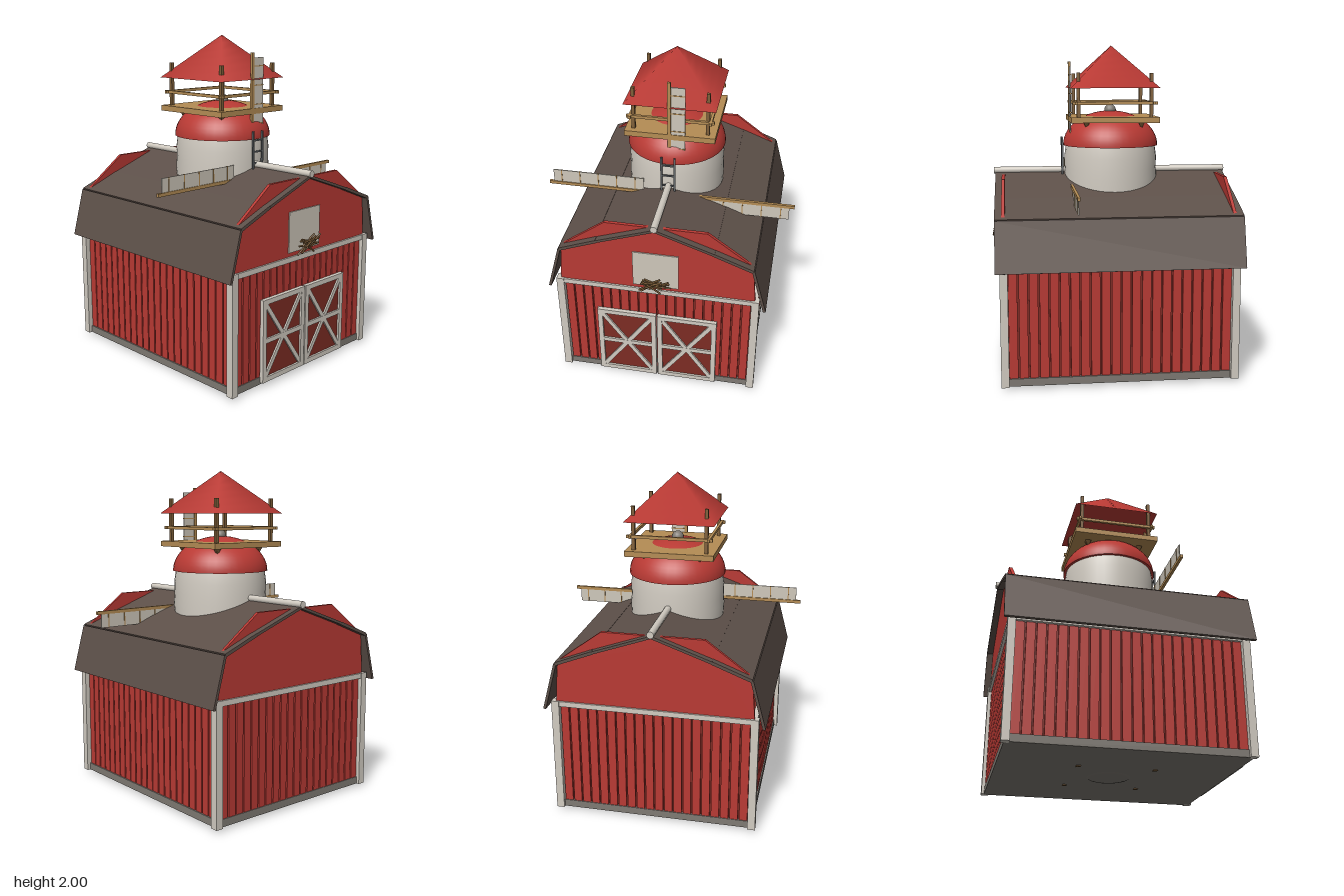
import * as THREE from 'three';

const mat = (name, color, side = THREE.FrontSide) =>
  Object.assign(new THREE.MeshStandardMaterial({ color, side }), { name });

export function createModel() {
  const red = mat('barn red', 0xb93a34, THREE.DoubleSide);
  const darkRed = mat('dark red', 0x7d2c24);
  const trim = mat('off-white trim', 0xd2ccc2);
  const canvas = mat('sail canvas', 0xcfc8bb);
  const roofBrown = mat('roof brown', 0x5d5049);
  const stone = mat('foundation grey', 0x7f7a73);
  const metal = mat('metal grey', 0x63676a);
  const tan = mat('tan wood', 0xb58d55);
  const brown = mat('brown wood', 0x80603a);

  const model = new THREE.Group();
  const barn = new THREE.Group();
  barn.name = 'barn';
  barn.position.z = -0.017;
  model.add(barn);

  const add = (name, geometry, material, x = 0, y = 0, z = 0, parent = barn) => {
    const m = new THREE.Mesh(geometry, material);
    m.name = name;
    m.position.set(x, y, z);
    parent.add(m);
    return m;
  };
  // Box given by its size and centre
  const box = (name, w, h, d, material, x, y, z, parent) =>
    add(name, new THREE.BoxGeometry(w, h, d), material, x, y, z, parent);
  // Flat bar between two points in the xy plane
  const bar = (name, a, b, width, depth, material, z, parent) => {
    const dx = b[0] - a[0], dy = b[1] - a[1];
    const m = box(name, Math.hypot(dx, dy), width, depth, material,
      (a[0] + b[0]) / 2, (a[1] + b[1]) / 2, z, parent);
    m.rotation.z = Math.atan2(dy, dx);
    return m;
  };
  const sides = [-1, 1];

  // Foundation and wall core
  box('foundation', 1.19, 0.045, 1.37, stone, 0, 0.0425, 0);
  box('wallCore', 1.145, 0.66, 1.335, darkRed, 0, 0.39, 0);
  const footing = add('siloFooting', new THREE.SphereGeometry(0.14, 24, 12), stone, 0, 0.03, 0);
  footing.scale.y = 0.21;

  // Wall planks on all four sides
  const planks = (count, span, place) => {
    const pitch = span / count;
    for (let i = 0; i < count; i++) place(-span / 2 + pitch * (i + 0.5), pitch - 0.009);
  };
  for (const s of sides) {
    planks(20, 1.14, (x, w) => box('endPlank', w, 0.66, 0.014, red, x, 0.39, s * 0.674));
    planks(22, 1.32, (z, w) => box('sidePlank', 0.014, 0.66, w, red, s * 0.58, 0.39, z));
  }

  // Corner posts, wall beams and gables
  const gable = new THREE.Shape([[-0.59, 0.74], [0.59, 0.74], [0.57, 1.0], [0.3, 1.2],
    [-0.3, 1.2], [-0.57, 1.0]].map(p => new THREE.Vector2(...p)));
  for (const s of sides) {
    for (const t of sides) {
      box('cornerPost', 0.046, 0.725, 0.046, trim, s * 0.593, 0.3825, t * 0.68);
      box('footBump', 0.025, 0.03, 0.025, brown, s * 0.225, 0.03, t * 0.225);
    }
    box('endBeam', 1.2, 0.032, 0.032, trim, 0, 0.727, s * 0.682);
    box('sideBeam', 0.03, 0.032, 1.36, trim, s * 0.59, 0.727, 0);
    add('gable', new THREE.ExtrudeGeometry(gable, { depth: 0.02, bevelEnabled: false }),
      red, 0, 0, s * 0.677 - 0.01);
  }

  // Gambrel roof boards, mirrored about the ridge
  const profile = [[0, 1.207], [0.345, 1.084], [0.572, 0.995], [0.65, 0.703]];
  for (const s of sides) {
    for (let i = 0; i < 3; i++) {
      const [a, b] = [profile[i], profile[i + 1]];
      bar('roofBoard', [s * a[0], a[1]], [s * b[0], b[1]], 0.016 + 0.003 * (i % 2), 1.455, roofBrown, 0);
    }
  }
  const ridge = add('ridgePole', new THREE.CylinderGeometry(0.021, 0.021, 1.475, 12), trim, 0, 1.224, 0);
  ridge.rotation.x = Math.PI / 2;

  // Double doors with cross bracing
  for (const s of sides) {
    const door = new THREE.Group();
    door.name = 'door';
    door.position.set(s * 0.187, 0.285, 0.688);
    barn.add(door);
    box('doorPanel', 0.36, 0.49, 0.015, darkRed, 0, 0, 0, door);
    for (const t of sides) {
      box('doorStile', 0.03, 0.505, 0.024, trim, t * 0.168, 0, 0.008, door);
      box('doorRail', 0.366, 0.03, 0.024, trim, 0, t * 0.238, 0.008, door);
      bar('doorBrace', [-0.16, -t * 0.23], [0.16, t * 0.23], 0.026, 0.02, trim, 0.008, door);
    }
    box('doorMidRail', 0.35, 0.028, 0.022, trim, 0, 0, 0.008, door);
  }

  // Hayloft opening with loose hay
  box('loftOpening', 0.275, 0.245, 0.008, canvas, -0.003, 0.89, 0.69);
  let seed = 7;
  const rand = () => (seed = (seed * 16807) % 2147483647) / 2147483647;
  for (let i = 0; i < 16; i++) {
    const stalk = add('hayStalk', new THREE.CylinderGeometry(0.006, 0.006, 0.09 + rand() * 0.06, 5), brown,
      -0.045 + rand() * 0.1, 0.775 + rand() * 0.06, 0.715 + rand() * 0.035);
    stalk.rotation.set((rand() - 0.5) * 0.5, 0, Math.PI / 2 + (rand() - 0.5) * 1.5);
  }

  // Silo body, dome and cap
  const lathe = pts => new THREE.LatheGeometry(pts.map(p => new THREE.Vector2(...p)), 40);
  add('siloBody', lathe([[0.29, 0.8], [0.291, 1.1], [0.296, 1.18], [0.291, 1.24], [0.293, 1.31], [0.283, 1.38]]), trim);
  const dome = new THREE.SphereGeometry(0.3, 40, 14, 0, Math.PI * 2, 0, Math.PI / 2);
  dome.scale(1, 0.72, 1);
  add('siloDome', dome, red, 0, 1.38, 0);
  const rim = add('domeUnderside', new THREE.CircleGeometry(0.3, 40), red, 0, 1.38, 0);
  rim.rotation.x = Math.PI / 2;
  add('domeKnob', new THREE.SphereGeometry(0.037, 16, 10), stone, 0, 1.6, 0);

  // Lookout platform, posts, railings and brackets
  const lookout = new THREE.Group();
  lookout.name = 'lookout';
  lookout.position.z = -0.005;
  barn.add(lookout);
  box('platform', 0.54, 0.034, 0.54, tan, 0, 1.547, 0, lookout);
  for (const s of sides) {
    for (const t of sides) {
      box('lookoutPost', 0.021, 0.27, 0.021, brown, s * 0.221, 1.695, t * 0.223, lookout);
      const bracket = add('bracket', new THREE.ConeGeometry(0.03, 0.055, 4), brown, s * 0.17, 1.51, t * 0.17, lookout);
      bracket.rotation.set(Math.PI, Math.PI / 4, 0);
    }
    box('railing', 0.52, 0.018, 0.016, tan, 0, 1.648, s * 0.238, lookout);
    box('railing', 0.016, 0.018, 0.52, tan, s * 0.238, 1.648, 0, lookout);
  }
  const hat = add('lookoutRoof', new THREE.ConeGeometry(0.272 * Math.SQRT2, 0.262, 4, 6, true), red, 0, 1.869, 0, lookout);
  hat.rotation.y = Math.PI / 4;

  // Windmill with four identical sails
  const mill = new THREE.Group();
  mill.name = 'windmill';
  mill.position.set(0, 1.14, 0.258);
  barn.add(mill);
  for (let i = 0; i < 4; i++) {
    const sail = new THREE.Group();
    sail.name = 'sail';
    sail.rotation.z = i * Math.PI / 2;
    mill.add(sail);
    box('sailSpar', 0.02, 0.76, 0.016, tan, 0, 0.38, 0, sail);
    box('sailCloth', 0.083, 0.57, 0.006, canvas, 0.052, 0.445, 0, sail);
    for (let k = 0; k < 5; k++)
      box('sailRib', 0.084, 0.006, 0.012, tan, 0.052, 0.215 + k * 0.116, 0, sail);
  }
  const hub = add('hub', new THREE.CylinderGeometry(0.03, 0.03, 0.04, 12), brown, 0, 0, 0, mill);
  hub.rotation.x = Math.PI / 2;

  // Ladder up the silo
  for (const s of sides) box('ladderRail', 0.011, 0.23, 0.011, metal, s * 0.04, 1.315, 0.307);
  for (const y of [1.235, 1.305, 1.375]) box('ladderRung', 0.08, 0.009, 0.009, metal, 0, y, 0.307);

  return model;
}
